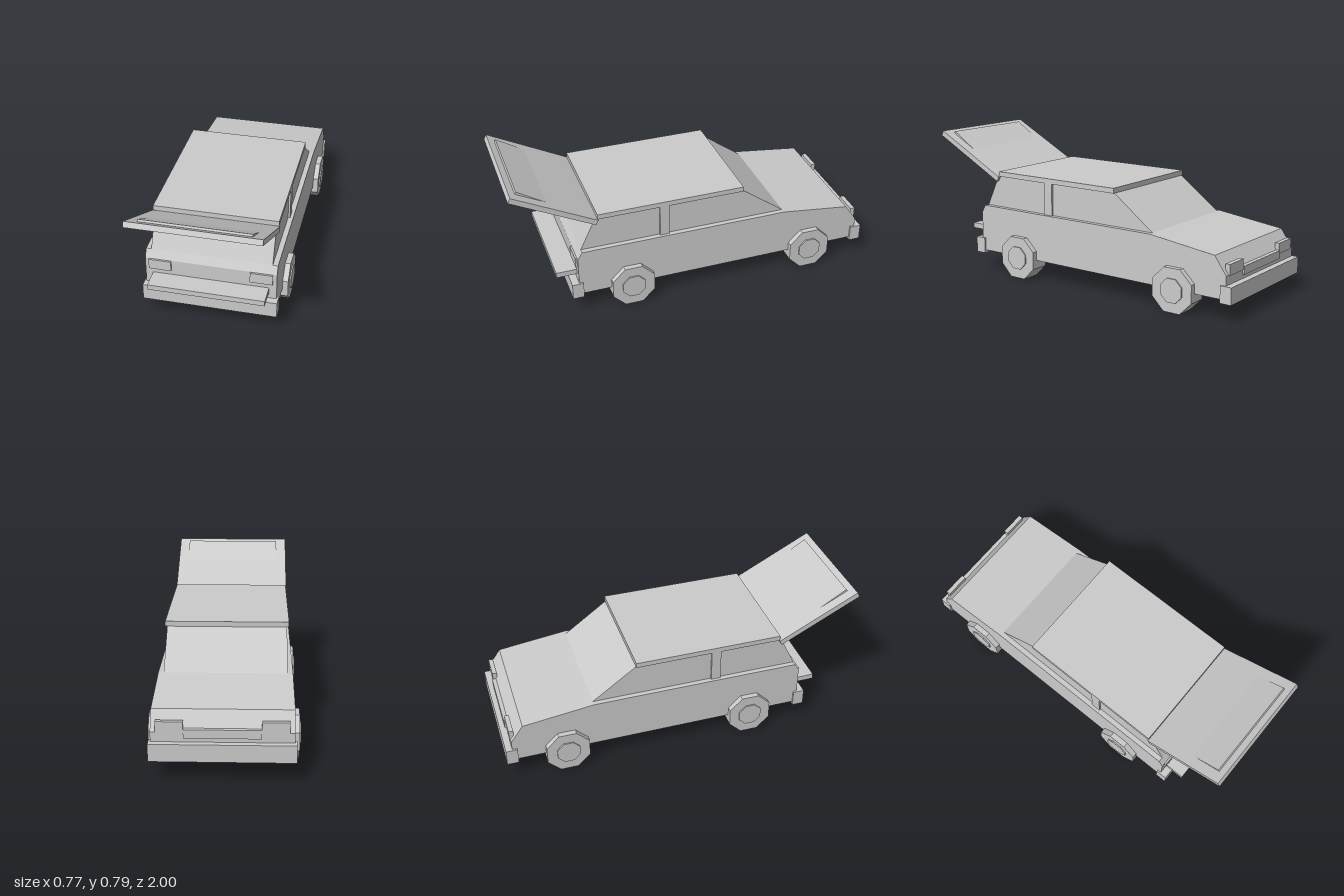
import * as THREE from 'three';

export function createModel() {
  const car = new THREE.Group();
  car.name = 'hatchbackCar';
  const paint = new THREE.MeshStandardMaterial({ color: 0xcccccc, flatShading: true });
  paint.name = 'plain grey';

  const add = (name, geometry, x = 0, y = 0, z = 0) => {
    const mesh = new THREE.Mesh(geometry, paint);
    mesh.name = name;
    mesh.position.set(x, y, z);
    car.add(mesh);
    return mesh;
  };

  // Side profile of [z, y] points, extruded across the car
  const profile = (name, points, halfWidth) => {
    const shape = new THREE.Shape(points.map(([z, y]) => new THREE.Vector2(z, y)));
    const geometry = new THREE.ExtrudeGeometry(shape, { depth: halfWidth * 2, bevelEnabled: false });
    geometry.translate(0, 0, -halfWidth).rotateY(-Math.PI / 2);
    return add(name, geometry);
  };

  // Box given by its limits on each axis
  const block = (name, x0, x1, y0, y1, z0, z1) =>
    add(name, new THREE.BoxGeometry(x1 - x0, y1 - y0, z1 - z0),
      (x0 + x1) / 2, (y0 + y1) / 2, (z0 + z1) / 2);

  // Flat slab running from one [z, y] point up to another, thickness below the line
  const slab = (name, [z0, y0], [z1, y1], thickness, halfWidth) => {
    const length = Math.hypot(z1 - z0, y1 - y0);
    const dz = (y1 - y0) / length * thickness, dy = -(z1 - z0) / length * thickness;
    return profile(name, [[z0, y0], [z0 + dz, y0 + dy], [z1 + dz, y1 + dy], [z1, y1]], halfWidth);
  };

  // Body, cabin and roof; the tail faces +z
  profile('body', [[-0.965, 0.115], [0.67, 0.115], [0.67, 0.34], [0.645, 0.382],
    [-0.51, 0.382], [-0.898, 0.333], [-0.965, 0.238]], 0.35);
  profile('cabin', [[-0.51, 0.382], [0.645, 0.382], [0.56, 0.56], [-0.267, 0.56]], 0.322);
  block('roof', -0.333, 0.333, 0.56, 0.588, -0.267, 0.548);

  // Raised tailgate with its window panel
  slab('tailgate', [0.545, 0.557], [0.985, 0.786], 0.03, 0.338);
  slab('tailgateWindow', [0.7, 0.628], [0.945, 0.78], 0.012, 0.28);

  // Bumpers, rear shelf and grille
  block('tailBumper', -0.36, 0.36, 0.098, 0.188, 0.648, 0.71);
  block('noseBumper', -0.36, 0.36, 0.098, 0.188, -1, -0.937);
  block('rearShelf', -0.31, 0.31, 0.222, 0.252, 0.66, 0.783);
  block('grille', -0.19, 0.19, 0.21, 0.255, -0.975, -0.95);

  for (const s of [-1, 1]) {
    const side = s > 0 ? 'left' : 'right';
    const paired = (name, x0, x1, ...rest) =>
      block(side + name, Math.min(s * x0, s * x1), Math.max(s * x0, s * x1), ...rest);
    paired('DoorPillar', 0.31, 0.333, 0.382, 0.56, 0.155, 0.208);
    paired('TailLight', 0.21, 0.33, 0.28, 0.338, 0.66, 0.68);
    paired('Headlight', 0.19, 0.325, 0.235, 0.293, -0.97, -0.945);

    // Eight-sided wheels and hubs
    for (const [end, z] of [['Tail', 0.375], ['Nose', -0.668]]) {
      const disc = (name, apothem, x0, x1) => {
        const r = apothem / Math.cos(Math.PI / 8);
        const geometry = new THREE.CylinderGeometry(r, r, x1 - x0, 8, 1, false, Math.PI / 8);
        geometry.rotateZ(Math.PI / 2);
        add(side + end + name, geometry, s * (x0 + x1) / 2, 0.1175, z);
      };
      disc('Wheel', 0.1175, 0.275, 0.38);
      disc('Hub', 0.063, 0.37, 0.387);
    }
  }
  return car;
}
